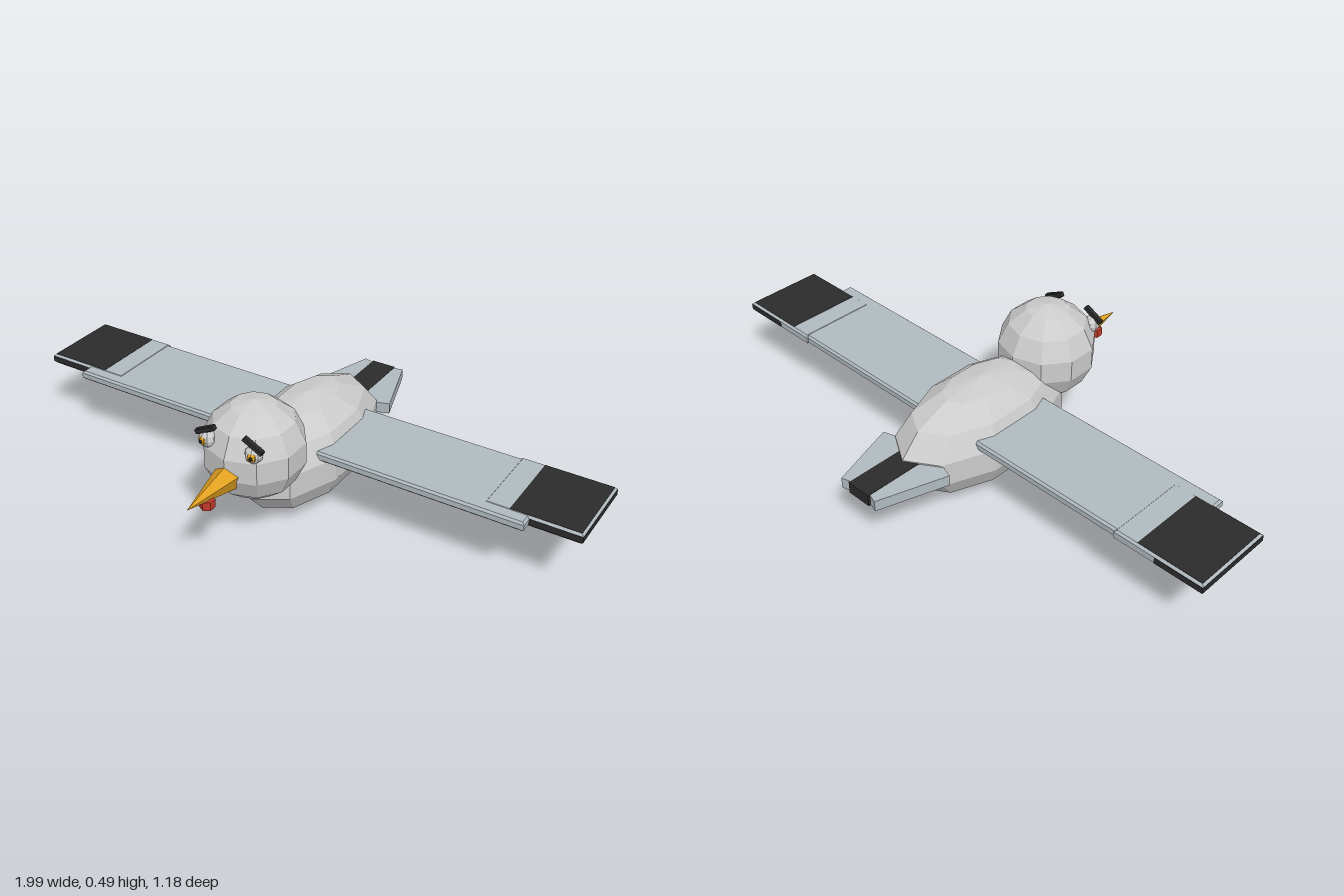
import * as THREE from 'three';

const mat = (color) => new THREE.MeshStandardMaterial({ color, flatShading: true });

export function createModel() {
  const model = new THREE.Group();
  model.name = 'bird';
  const plumage = mat(0xcccccc), wingGrey = mat(0xb0babf), black = mat(0x2b2b2b);
  const orange = mat(0xe0a020), red = mat(0xc0392b);

  const add = (parent, name, geometry, material, x, y, z) => {
    const mesh = new THREE.Mesh(geometry, material);
    mesh.name = name;
    mesh.position.set(x, y, z);
    parent.add(mesh);
    return mesh;
  };

  // Faceted ball with a vertex column facing front and back
  const ball = (r, w, h) => new THREE.SphereGeometry(r, w, h).rotateY(Math.PI / 2);

  // Flat slab with chamfered edges, centred on its own origin
  const slab = (w, h, d, b) => {
    const x = w / 2 - b, z = d / 2 - b;
    const shape = new THREE.Shape([
      new THREE.Vector2(-x, -z), new THREE.Vector2(x, -z),
      new THREE.Vector2(x, z), new THREE.Vector2(-x, z),
    ]);
    return new THREE.ExtrudeGeometry(shape, {
      depth: h - 2 * b, bevelEnabled: true, bevelThickness: b, bevelSize: b, bevelSegments: 1,
    }).translate(0, 0, b - h / 2).rotateX(-Math.PI / 2);
  };

  // Body and head
  add(model, 'body', ball(0.184, 10, 7).scale(1, 1, 1.9), plumage, 0, 0.1875, -0.07);
  add(model, 'head', ball(0.167, 10, 7), plumage, 0, 0.33, 0.24);

  // Five-sided beak with a ridge on top, and the red spot below it
  const beak = new THREE.ConeGeometry(0.046, 0.21, 5).rotateY(Math.PI).rotateX(Math.PI / 2);
  add(model, 'beak', beak, orange, 0, 0.3, 0.485);
  add(model, 'beakSpot', ball(0.028, 6, 3), red, 0, 0.268, 0.492);

  for (const s of [1, -1]) {
    const side = s > 0 ? 'left' : 'right';

    // Eye with iris, pupil and slanted brow
    const eye = new THREE.Group();
    eye.name = side + 'Eye';
    eye.position.set(s * 0.083, 0.398, 0.365);
    eye.rotation.y = s * 0.25;
    model.add(eye);
    add(eye, 'eyeball', ball(0.029, 8, 6), plumage, 0, 0, 0);
    add(eye, 'iris', ball(0.017, 8, 6), orange, 0, 0, 0.015);
    add(eye, 'pupil', ball(0.008, 6, 4), black, 0, 0, 0.027);
    const brow = add(model, side + 'Brow', slab(0.074, 0.018, 0.018, 0.003), black,
      s * 0.086, 0.431, 0.371);
    brow.rotation.z = -s * 0.47;

    // Wing panel and its narrower tip
    const wing = new THREE.Group();
    wing.name = side + 'Wing';
    wing.position.y = 0.2525;
    model.add(wing);
    add(wing, 'wingPanel', slab(0.83, 0.032, 0.315, 0.007), wingGrey, s * 0.415, 0, -0.0675);
    add(wing, 'wingTipRim', slab(0.31, 0.035, 0.282, 0.007), wingGrey, s * 0.84, 0, -0.089);

    // Black faces of the tip, standing just proud of the grey rim
    add(wing, 'wingTipFaces', new THREE.BoxGeometry(0.223, 0.037, 0.268), black, s * 0.8765, 0, -0.089);
    add(wing, 'wingTipEdge', new THREE.BoxGeometry(0.166, 0.021, 0.284), black, s * 0.913, 0, -0.089);

    // Outer tail feather, angled inward towards the back
    const feather = add(model, side + 'TailFeather', new THREE.BoxGeometry(0.09, 0.038, 0.247),
      wingGrey, s * 0.07, 0.205, -0.459);
    feather.rotation.y = s * 0.309;
  }

  // Middle tail feather
  add(model, 'middleTailFeather', new THREE.BoxGeometry(0.088, 0.041, 0.25), black, 0, 0.205, -0.463);

  return model;
}
